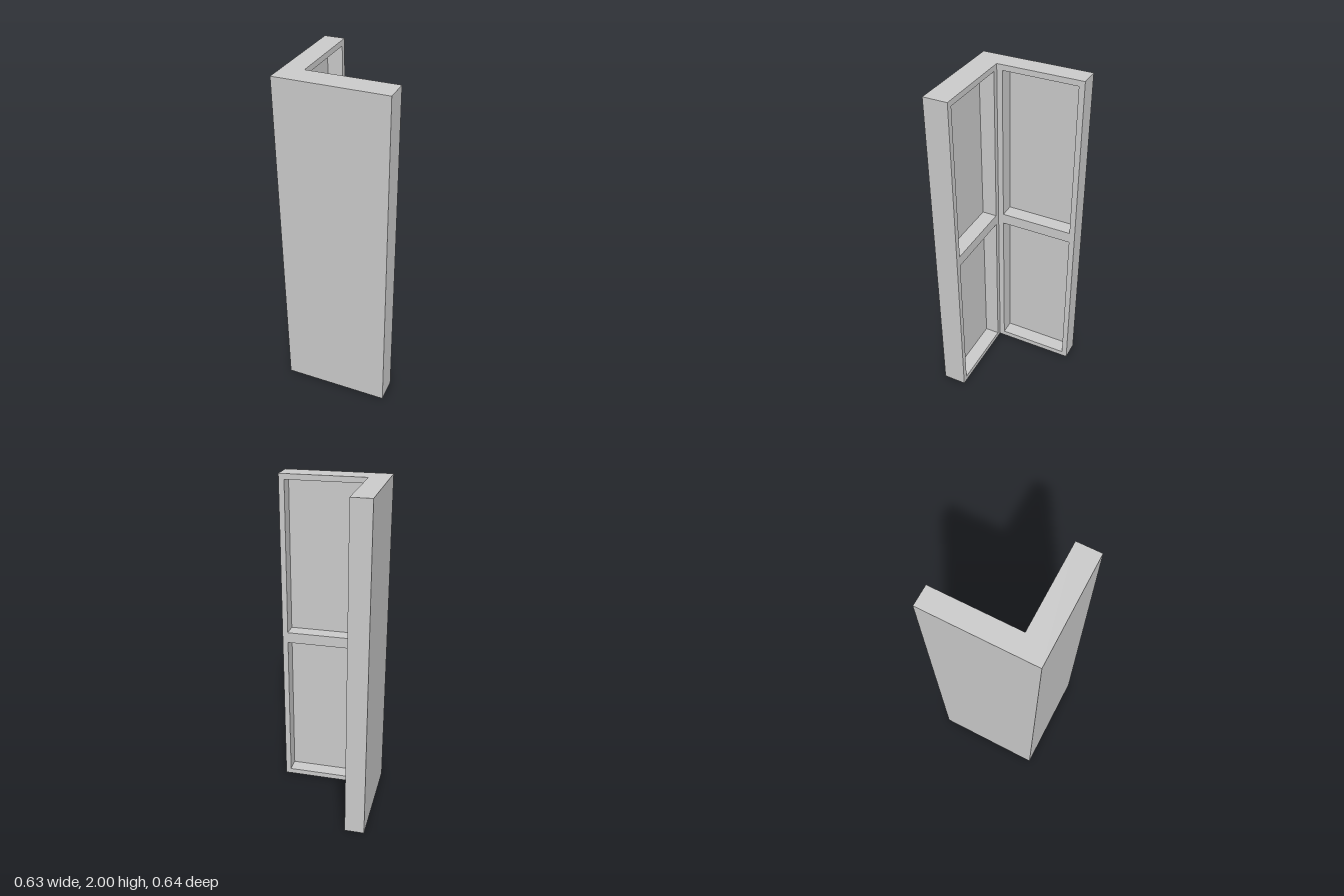
import * as THREE from 'three';

const H = 2, MARGIN = 0.033, DEPTH = 0.09;
const X0 = -0.315, X1 = 0.315, Z0 = -0.323, Z1 = 0.321; // outer extents
const CX = -0.197, CZ = 0.18;                           // inner corner
const material = new THREE.MeshStandardMaterial({ color: 0xcccccc, side: THREE.DoubleSide });

function add(parent, name, geometry, x = 0, y = 0, z = 0, ry = 0) {
  const mesh = new THREE.Mesh(geometry, material);
  mesh.name = name;
  mesh.position.set(x, y, z);
  mesh.rotation.y = ry;
  parent.add(mesh);
  return mesh;
}

const rect = (C, x0, y0, x1, y1) => new C([
  [x0, y0], [x1, y0], [x1, y1], [x0, y1],
].map(([x, y]) => new THREE.Vector2(x, y)));

// Inner face of one wing: a frame with two recessed panels, facing local +z
function framedWing(name, x0, x1) {
  const wing = new THREE.Group();
  wing.name = name;
  const face = rect(THREE.Shape, x0, 0, x1, H);
  const w = x1 - x0 - 2 * MARGIN, h = H / 2 - 2 * MARGIN;
  for (const [label, y] of [['lowerRecess', H / 4], ['upperRecess', H * 3 / 4]]) {
    const cx = (x0 + x1) / 2;
    face.holes.push(rect(THREE.Path, cx - w / 2, y - h / 2, cx + w / 2, y + h / 2));
    // box without its front (+z) side
    const box = new THREE.BoxGeometry(w, h, DEPTH);
    const index = Array.from(box.index.array);
    index.splice(24, 6);
    box.setIndex(index);
    box.clearGroups();
    add(wing, label, box, cx, y, -DEPTH / 2);
  }
  add(wing, 'frame', new THREE.ShapeGeometry(face));
  return wing;
}

export function createModel() {
  const model = new THREE.Group();
  model.name = 'cornerPanel';

  // Recessed inner faces
  const front = framedWing('frontWingInside', CX - X1, 0);
  front.position.set(CX, 0, CZ);
  front.rotation.y = Math.PI;
  const side = framedWing('sideWingInside', 0, CZ - Z0);
  side.position.set(CX, 0, CZ);
  side.rotation.y = Math.PI / 2;
  model.add(front, side);

  // Plain outer walls and wing ends
  const wall = (name, w, x, z, ry) => add(model, name, new THREE.PlaneGeometry(w, H), x, H / 2, z, ry);
  wall('frontWall', X1 - X0, (X0 + X1) / 2, Z1, 0);
  wall('sideWall', Z1 - Z0, X0, (Z0 + Z1) / 2, -Math.PI / 2);
  wall('frontWingEnd', Z1 - CZ, X1, (Z1 + CZ) / 2, Math.PI / 2);
  wall('sideWingEnd', CX - X0, (X0 + CX) / 2, Z0, Math.PI);

  // L-shaped top; the underside is left open
  const top = new THREE.Shape([
    [X0, -Z1], [X1, -Z1], [X1, -CZ], [CX, -CZ], [CX, -Z0], [X0, -Z0],
  ].map(([x, y]) => new THREE.Vector2(x, y)));
  add(model, 'top', new THREE.ShapeGeometry(top).rotateX(-Math.PI / 2), 0, H, 0);

  return model;
}
